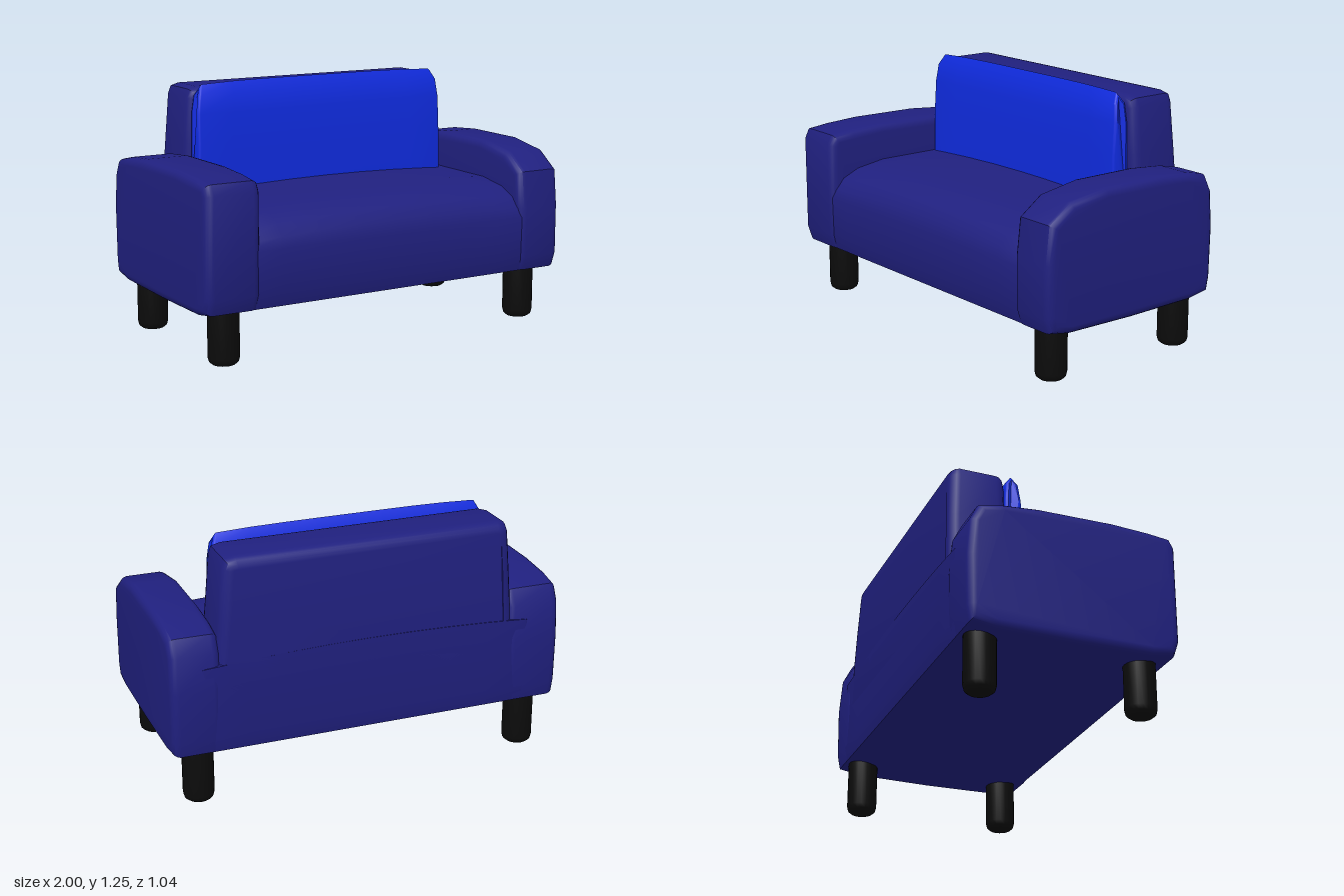
import * as THREE from 'three';
import { mergeVertices, toCreasedNormals } from 'three/addons/utils/BufferGeometryUtils.js';

const fabric = new THREE.MeshStandardMaterial({ color: 0x20207f });
const cushionFabric = new THREE.MeshStandardMaterial({ color: 0x0f2bdf });
const legBlack = new THREE.MeshStandardMaterial({ color: 0x0c0c0c });

// Extrudes an outline between two limits; the rounded edges stay inside them
function padded(points, from, to, bevel, steps = 1) {
  const shape = new THREE.Shape(points.map(([x, y]) => new THREE.Vector2(x, y)));
  const geo = new THREE.ExtrudeGeometry(shape, {
    depth: to - from - 2 * bevel, steps, bevelEnabled: true, bevelSize: bevel,
    bevelThickness: bevel, bevelOffset: -bevel, bevelSegments: 4,
  });
  return geo.translate(0, 0, from + bevel);
}

// Same, for a side outline of [z, y] points swept along x
function paddedAlongX(points, from, to, bevel, steps) {
  return padded(points.map(([z, y]) => [-z, y]), from, to, bevel, steps).rotateY(Math.PI / 2);
}

// Moves every vertex by a rule
function deform(geo, rule) {
  const p = geo.attributes.position;
  const v = new THREE.Vector3();
  for (let i = 0; i < p.count; i++) {
    rule(v.fromBufferAttribute(p, i));
    p.setXYZ(i, v.x, v.y, v.z);
  }
  return geo;
}

function soften(geo, angle = 0.75) {
  geo.deleteAttribute('normal');
  geo.deleteAttribute('uv');
  return toCreasedNormals(mergeVertices(geo, 1e-4), angle);
}

export function createModel() {
  const model = new THREE.Group();
  const add = (name, geo, material) => {
    const mesh = new THREE.Mesh(geo, material);
    mesh.name = name;
    model.add(mesh);
    return mesh;
  };

  // Arms: shared underside and back, each with its own front shoulder
  const armBase = [
    [-0.17, 0.9], [-0.35, 0.885], [-0.465, 0.86], [-0.505, 0.78], [-0.52, 0.6],
    [-0.515, 0.35], [-0.5, 0.275], [-0.38, 0.255], [0, 0.25], [0.38, 0.255],
    [0.495, 0.275], [0.52, 0.35],
  ];
  const leftFront = [[0.52, 0.6], [0.5, 0.78], [0.38, 0.865], [0.17, 0.9]];
  const rightFront = [[0.52, 0.83], [0.495, 0.88], [0.38, 0.893], [0.2, 0.903]];
  add('leftArm', soften(paddedAlongX([...armBase, ...leftFront], 0.75, 0.995, 0.04)), fabric);
  add('rightArm', soften(paddedAlongX([...armBase, ...rightFront], -1, -0.72, 0.04)), fabric);

  // Seat body, gently crowned across its width
  const seat = paddedAlongX([
    [-0.515, 0.74], [-0.515, 0.35], [-0.5, 0.275], [-0.38, 0.255], [0.38, 0.255],
    [0.49, 0.275], [0.51, 0.35], [0.512, 0.55], [0.495, 0.62], [0.45, 0.675],
    [0.36, 0.715], [0.2, 0.74],
  ], -0.84, 0.86, 0.03, 8);
  deform(seat, (v) => { if (v.y > 0.6) v.y -= 0.025 * (v.x / 0.74) ** 2; });
  add('seat', soften(seat), fabric);

  // Backrest, narrowing toward the top and leaning in slightly behind
  const back = padded([
    [-0.75, 0.5], [0.77, 0.5], [0.765, 0.75], [0.745, 0.95], [0.725, 1.17], [0.71, 1.21],
    [0.66, 1.222], [-0.66, 1.222], [-0.7, 1.21], [-0.715, 1.17], [-0.73, 0.95], [-0.745, 0.75],
  ], -0.515, -0.22, 0.05);
  deform(back, (v) => { if (v.y > 0.83 && v.z < -0.4) v.z += 0.04 * (v.y - 0.83); });
  add('backrest', soften(back), fabric);

  // Thin back cushion with a pinched top edge and clipped top corners
  const cushion = paddedAlongX([
    [-0.13, 0.68], [-0.132, 0.95], [-0.14, 1.1], [-0.15, 1.19], [-0.18, 1.25],
    [-0.215, 1.19], [-0.222, 1.1], [-0.225, 0.95], [-0.225, 0.68],
  ], -0.715, 0.705, 0.015, 8);
  deform(cushion, (v) => {
    v.x *= 1 - 0.02 * (v.y - 0.73) - 0.04 * THREE.MathUtils.clamp((v.y - 1.16) / 0.08, 0, 1);
    if (v.y > 1.2) v.y -= 0.012 * (v.x / 0.7) ** 4;
  });
  add('backCushion', soften(cushion, 0.6), cushionFabric);

  // Four round legs with softened feet
  const legGeo = new THREE.LatheGeometry([
    [0, 0], [0.055, 0], [0.07, 0.012], [0.076, 0.035], [0.076, 0.3], [0, 0.3],
  ].map(([r, y]) => new THREE.Vector2(r, y)), 20);
  const legShape = soften(legGeo, 0.8);
  for (const [side, x] of [['left', 0.85], ['right', -0.85]]) {
    add(side + 'FrontLeg', legShape, legBlack).position.set(x, 0.008, 0.377);
    add(side + 'BackLeg', legShape, legBlack).position.set(x, 0, -0.405);
  }
  return model;
}
